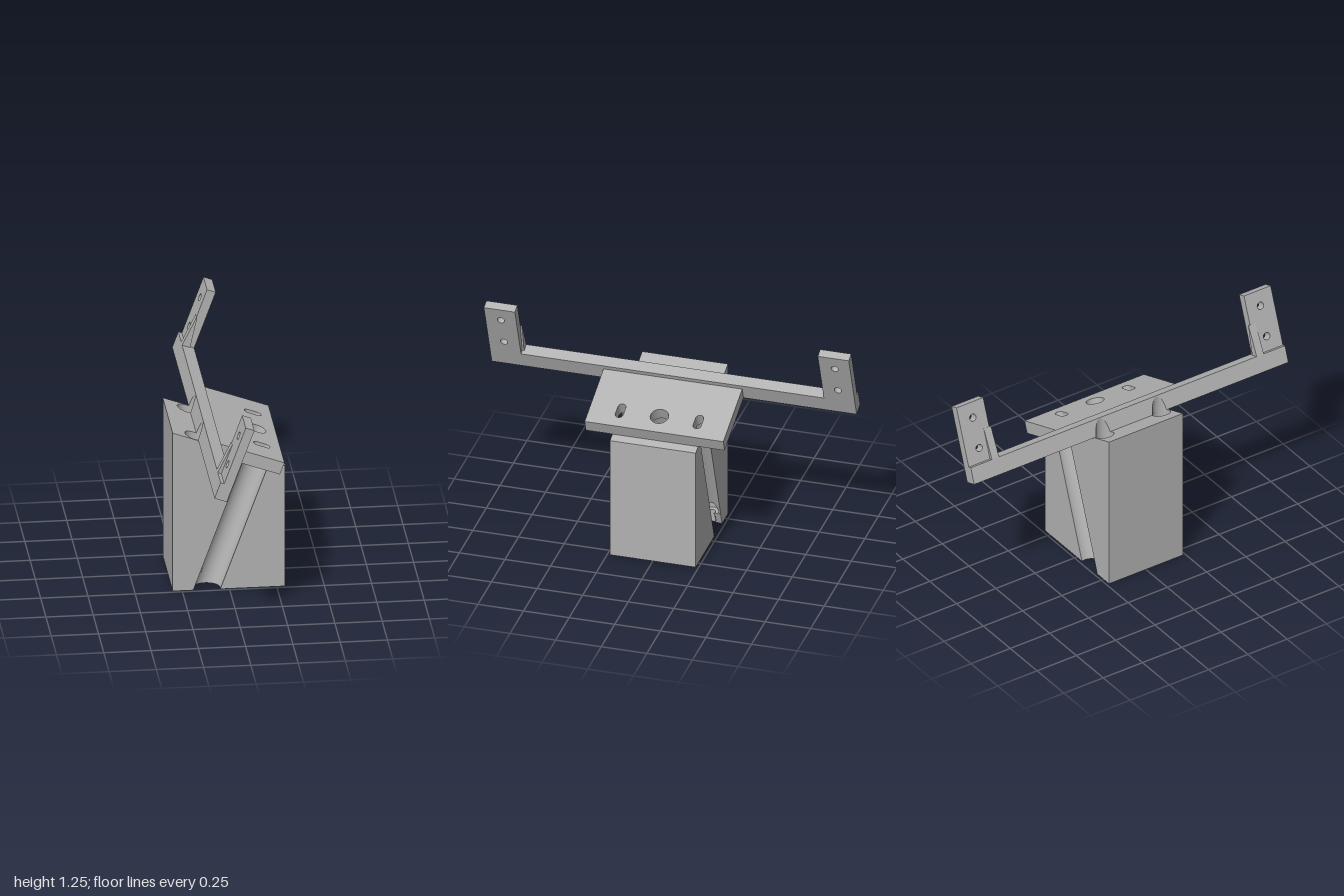
import * as THREE from 'three';

const TILT = Math.PI / 9, T = Math.tan(TILT), TOP = 0.796; // tilted top plane: y = TOP - T * x
const X0 = -0.3, X1 = 0.295, ZH = 0.235;                    // block extents
const AXIS = -0.12;                                         // x of the tilted bores at y = 0
const GR = 0.07, GA = GR / Math.cos(TILT), GZ = 0.215;      // side groove radius, stretched radius, offset
const BX = -0.182, BZ = 0.18, BR = 0.048, HR = 0.022, BY = 0.07; // vertical counterbore
const topY = (x) => TOP - T * x;
const inGroove = (x, y, z) => ((x - AXIS - T * y) / GA) ** 2 + ((z - GZ) / GR) ** 2 < 1;
const inBore = (x, y, z) => Math.hypot(x - BX, z - BZ) < (y > BY ? BR : HR);

const steel = new THREE.MeshStandardMaterial({ color: 0xb2b2b2, side: THREE.DoubleSide });
steel.name = 'plain grey';

function add(parent, name, geometry) {
  const mesh = new THREE.Mesh(geometry, steel);
  mesh.name = name;
  parent.add(mesh);
  return mesh;
}

// Surface patch from fn(u, v); cells whose middle fails keep() are left out
function grid(nu, nv, fn, keep = () => true) {
  const pos = [], index = [];
  for (let j = 0; j <= nv; j++) for (let i = 0; i <= nu; i++) pos.push(...fn(i / nu, j / nv));
  for (let j = 0; j < nv; j++) for (let i = 0; i < nu; i++) {
    if (!keep(...fn((i + 0.5) / nu, (j + 0.5) / nv))) continue;
    const a = j * (nu + 1) + i, b = a + 1, c = a + nu + 1, d = c + 1;
    index.push(a, b, d, a, d, c);
  }
  const g = new THREE.BufferGeometry();
  g.setAttribute('position', new THREE.Float32BufferAttribute(pos, 3));
  g.setIndex(index);
  g.computeVertexNormals();
  return g;
}

// Flat face: 2D outline with holes placed in space by map(a, b)
function face(outline, holes, map) {
  const shape = new THREE.Shape(outline.map((p) => new THREE.Vector2(...p)));
  shape.holes = holes.map((h) => new THREE.Path(h.map((p) => new THREE.Vector2(...p))));
  const g = new THREE.ShapeGeometry(shape), p = g.attributes.position;
  for (let i = 0; i < p.count; i++) p.setXYZ(i, ...map(p.getX(i), p.getY(i)));
  g.computeVertexNormals();
  return g;
}

const ring = (cx, cy, rx, ry, n = 40) => Array.from({ length: n }, (_, i) => {
  const a = (i / n) * Math.PI * 2;
  return [cx + rx * Math.cos(a), cy + ry * Math.sin(a)];
});

// Carry a point of the base along the tilted axis, t = 0 base, t = 1 top plane
function slide(x, z, t) {
  const y = (t * (TOP - T * x)) / (1 + T * T);
  return [x + T * y, y, z];
}
const T0 = Math.asin((ZH - GZ) / GR);
function groovePoint(u) {
  const a = Math.PI - T0 + (Math.PI + 2 * T0) * u;
  return [AXIS + GA * Math.cos(a), GZ + GR * Math.sin(a)];
}

function buildBlock() {
  const block = new THREE.Group();
  block.name = 'block';
  const N = 40, steps = Array.from({ length: N + 1 }, (_, i) => groovePoint(i / N));
  const flat = ([x, , z]) => [x, z];
  const outline = (edge) => [[X0, ZH], ...edge, [X1, ZH], [X1, -ZH],
    ...edge.map(([x, z]) => [x, -z]).reverse(), [X0, -ZH]];

  // Top face with bore mouths
  const R = 0.08, RA = R / Math.cos(TILT);
  const topEdge = steps.map(([x, z]) => flat(slide(x, z, 1)));
  const topBore = ring(AXIS, 0, RA, R).map(([x, z]) => flat(slide(x, z, 1)));
  add(block, 'blockTop', face(outline(topEdge),
    [topBore, ring(BX, BZ, BR, BR), ring(BX, -BZ, BR, BR)], (x, z) => [x, topY(x), z]));

  // Bottom face: the small vertical hole breaks into the groove edge
  const first = steps.findIndex(([x, z]) => inBore(x, 0, z));
  const arc = Array.from({ length: 41 }, (_, i) => {
    const a = Math.PI * (0.5 + (i / 40) * 1.33);
    return [BX + HR * Math.cos(a), BZ + HR * Math.sin(a)];
  }).filter(([x, z]) => !inGroove(x, 0, z));
  const outside = ([x, z]) => !inBore(x, 0, z);
  const bottomEdge = [...steps.slice(0, first), ...arc, ...steps.slice(first).filter(outside)];
  add(block, 'blockBottom', face(outline(bottomEdge), [ring(AXIS, 0, RA, R)], (x, z) => [x, 0, z]));

  // End walls and central bore
  for (const x of [X0, X1]) {
    add(block, 'endWall', grid(1, 1, (u, v) => [x, v * topY(x), (u * 2 - 1) * ZH]));
  }
  add(block, 'centralBore', grid(48, 1, (u, v) => {
    const a = u * Math.PI * 2;
    return slide(AXIS + RA * Math.cos(a), R * Math.sin(a), v);
  }));

  for (const s of [1, -1]) {
    const side = new THREE.Group();
    side.name = s > 0 ? 'frontSide' : 'backSide';
    block.add(side);
    const m = ([x, y, z]) => [x, y, z * s];
    const put = (name, nu, nv, fn, keep) =>
      add(side, name, grid(nu, nv, (u, v) => m(fn(u, v)), keep && ((x, y, z) => keep(x, y, z * s))));
    // Flat wall on both sides of the groove
    for (const [x, u0] of [[X0, 0], [X1, 1]]) {
      put('sideWall', 1, 1, (u, v) => {
        const g = slide(...groovePoint(u0), v);
        return u ? g : [x, v * topY(x), ZH];
      });
    }
    put('groove', 64, 140, (u, v) => slide(...groovePoint(u), v), (...p) => !inBore(...p));
    // Vertical counterbore, its floor and the small hole below it
    const around = (u, r, y) => [BX + r * Math.cos(u * Math.PI * 2), y, BZ + r * Math.sin(u * Math.PI * 2)];
    const clear = (...p) => !inGroove(...p);
    put('counterbore', 72, 140, (u, v) => {
      const p = around(u, BR, 0);
      p[1] = BY + v * (topY(p[0]) - BY);
      return p;
    }, clear);
    put('counterboreFloor', 72, 10, (u, v) => around(u, HR + v * (BR - HR), BY), clear);
    put('screwHole', 72, 14, (u, v) => around(u, HR, v * BY), clear);
  }
  return block;
}

function buildBracket() {
  const bracket = new THREE.Group();
  bracket.name = 'bracket';
  bracket.position.y = TOP;
  bracket.rotation.z = -TILT;
  const U0 = -0.175, U1 = -0.106, H = 0.094;

  // Crossbar, its back lower edge cut by the two vertical bores
  const a0 = Math.acos((U0 * Math.cos(TILT) - BX) / BR);
  const cut = (zc) => Array.from({ length: 25 }, (_, i) => {
    const a = a0 * (i / 12 - 1);
    return [(BX + BR * Math.cos(a)) / Math.cos(TILT), zc + BR * Math.sin(a)];
  });
  const rise = (u) => Math.max(0, (u - U0) / T);
  const cuts = [cut(-BZ), cut(BZ)], edge = cuts.flat();
  const bar = new THREE.Group();
  bar.name = 'crossbar';
  bracket.add(bar);
  add(bar, 'barBottom', face([[U0, -1], ...edge, [U0, 1], [U1, 1], [U1, -1]], [], (u, z) => [u, 0, z]));
  add(bar, 'barBack', face([[-1, 0], ...edge.map(([u, z]) => [z, rise(u)]), [1, 0], [1, H], [-1, H]], [],
    (z, v) => [U0, v, z]));
  add(bar, 'barTop', grid(1, 1, (a, b) => [a ? U1 : U0, H, b * 2 - 1]));
  add(bar, 'barFront', grid(1, 1, (a, b) => [U1, a * H, b * 2 - 1]));
  for (const z of [-1, 1]) add(bar, 'barEnd', grid(1, 1, (a, b) => [a ? U1 : U0, b * H, z]));
  for (const c of cuts) {
    add(bar, 'barNotch', grid(24, 1, (a, b) => {
      const [u, z] = c[Math.round(a * 24)] ;
      return b ? [U0, rise(u), z] : [u, 0, z];
    }));
  }

  // Mounting plate with a round hole and two slots
  const poly = (pts) => new THREE.Shape(pts.map((p) => new THREE.Vector2(...p)));
  const hole = (pts) => new THREE.Path(pts.map((p) => new THREE.Vector2(...p)));
  const plate = poly([[U1, -0.38], [0.267, -0.38], [0.267, 0.38], [U1, 0.38]]);
  plate.holes.push(hole(ring(0.159, 0, 0.049, 0.049)));
  for (const s of [-1, 1]) {
    plate.holes.push(hole(ring(0, 0, 0.022, 0.022, 32).map(([x, z]) =>
      [0.159 + x + (x > 0 ? 0.025 : -0.025), s * 0.213 + z])));
  }
  add(bracket, 'mountingPlate', new THREE.ExtrudeGeometry(plate, { depth: 0.07, bevelEnabled: false })
    .rotateX(Math.PI / 2).translate(0, 0.07, 0));

  // Uprights with two holes each, and a slim rib behind
  for (const s of [-1, 1]) {
    const arm = poly([[s * 0.83, H], [s, H], [s, 0.428], [s * 0.83, 0.428]]);
    for (const v of [0.173, 0.344]) arm.holes.push(hole(ring(s * 0.915, v, 0.02, 0.02, 28)));
    add(bracket, 'upright', new THREE.ExtrudeGeometry(arm, { depth: 0.049, bevelEnabled: false })
      .rotateY(-Math.PI / 2).translate(U1, 0, 0));
    const rib = poly([[U0, H], [-0.13, H], [-0.152, 0.265], [-0.156, 0.265]]);
    add(bracket, 'rib', new THREE.ExtrudeGeometry(rib, { depth: 0.045, bevelEnabled: false })
      .translate(0, 0, s > 0 ? 0.82 : -0.865));
  }
  return bracket;
}

export function createModel() {
  const model = new THREE.Group();
  model.name = 'bracketStand';
  model.add(buildBlock(), buildBracket());
  return model;
}
